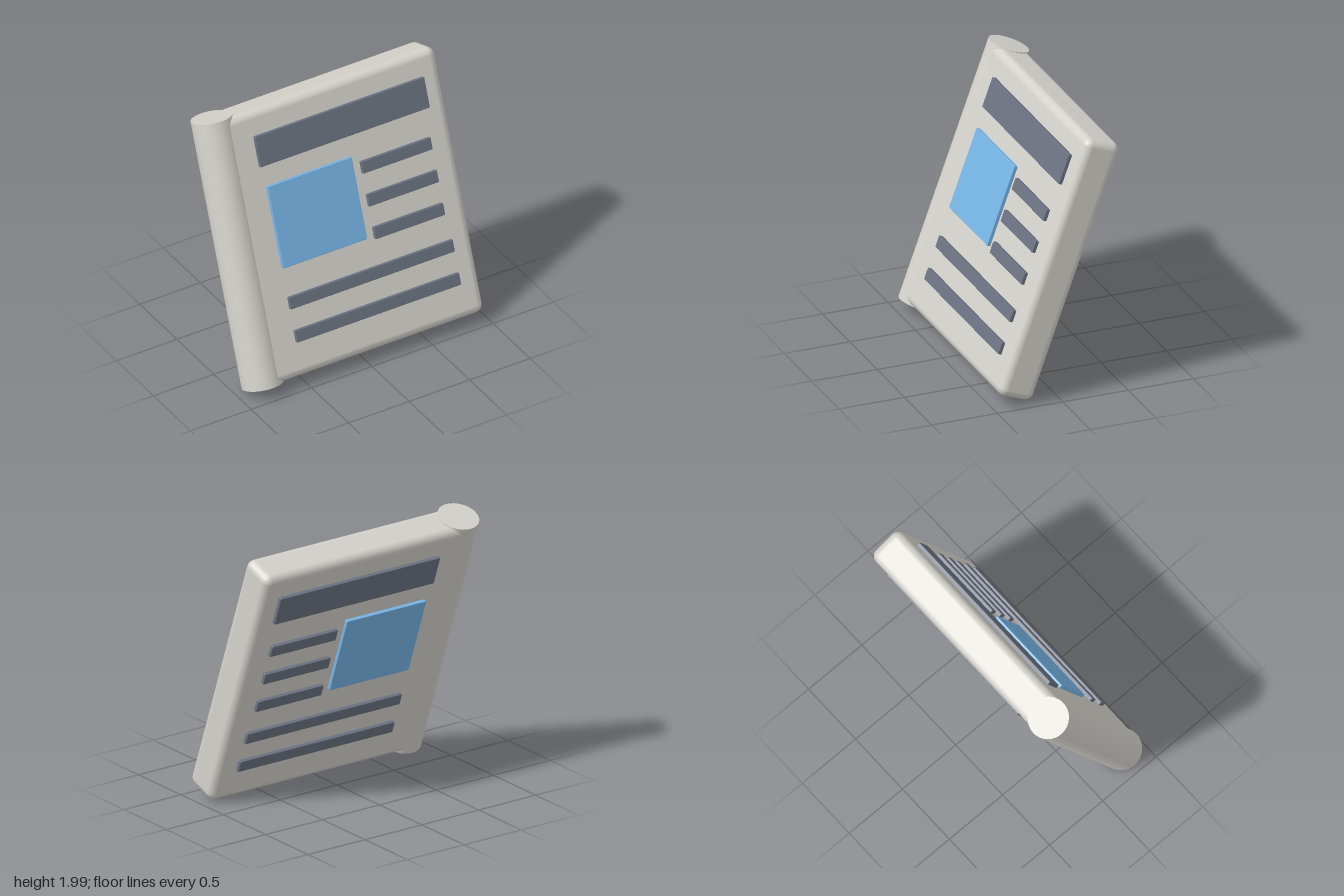
import * as THREE from 'three';
import { RoundedBoxGeometry } from 'three/addons/geometries/RoundedBoxGeometry.js';

const TILT = THREE.MathUtils.degToRad(20);
const FACE = 0.166; // outer surface of the raised blocks, from the mid plane
const DEPTH = 0.06; // block depth, partly sunk into the page

export function createModel() {
  const paper = new THREE.MeshStandardMaterial({ color: 0xd4d2cb });
  paper.name = 'paper';
  const ink = new THREE.MeshStandardMaterial({ color: 0x6b7280 });
  ink.name = 'ink';
  const picture = new THREE.MeshStandardMaterial({ color: 0x76b5e5 });
  picture.name = 'pictureBlue';

  const model = new THREE.Group();
  model.name = 'foldedNewspaper';
  const sheet = new THREE.Group();
  sheet.name = 'leaningPaper';
  sheet.position.y = 1;
  sheet.rotation.x = -TILT; // top leans backwards
  model.add(sheet);

  const add = (name, geometry, material, x, y, z) => {
    const mesh = new THREE.Mesh(geometry, material);
    mesh.name = name;
    mesh.position.set(x, y, z);
    sheet.add(mesh);
  };

  // Thick rounded page block and the round fold along its side
  add('pages', new RoundedBoxGeometry(1.77, 2.0, 0.278, 3, 0.06), paper, 0.075, 0, 0);
  add('foldedSpine', new THREE.CylinderGeometry(0.151, 0.151, 2.012, 32), paper, -0.81, 0, 0);

  // Raised blocks: name, centre x, centre y, width, height, material
  const blocks = [
    ['headline', 0.115, 0.702, 1.4, 0.23, ink],
    ['pictureBlock', -0.2125, 0.125, 0.695, 0.618, picture],
  ];
  for (let i = 0; i < 3; i++) blocks.push(['shortTextLine', 0.4875, 0.33 - i * 0.247, 0.575, 0.09, ink]);
  for (let i = 0; i < 2; i++) blocks.push(['longTextLine', 0.1175, -0.447 - i * 0.25, 1.355, 0.09, ink]);

  // The same layout on front and back
  for (const side of [1, -1]) {
    for (const [name, x, y, w, h, material] of blocks) {
      const geometry = new RoundedBoxGeometry(w, h, DEPTH, 2, 0.005);
      add((side > 0 ? 'front_' : 'back_') + name, geometry, material, x, y, side * (FACE - DEPTH / 2));
    }
  }
  return model;
}
